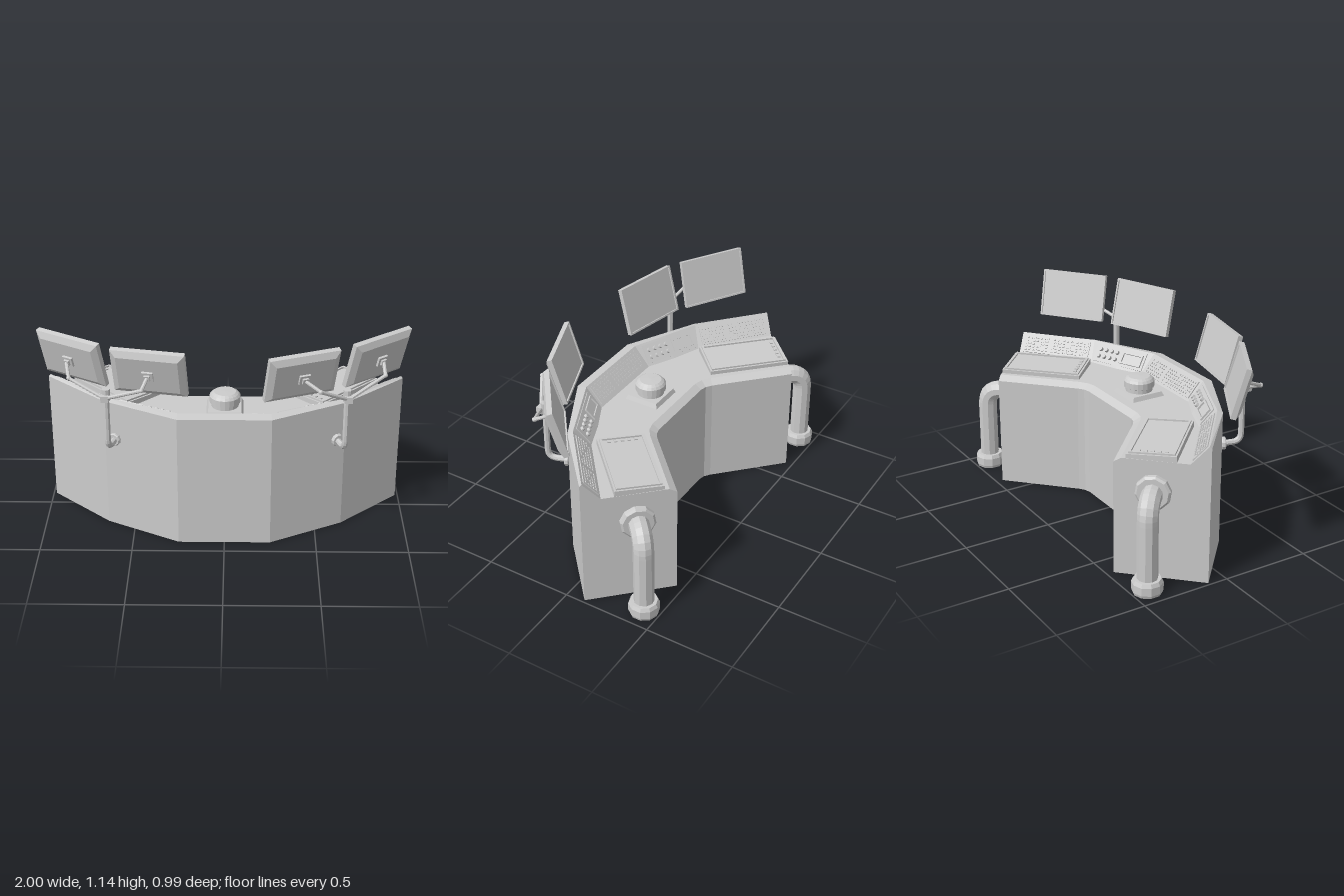
import * as THREE from 'three';
import { mergeGeometries } from 'three/addons/utils/BufferGeometryUtils.js';

const V = (x, y, z) => new THREE.Vector3(x, y, z);
const grey = new THREE.MeshStandardMaterial({ color: 0xcccccc, flatShading: true });

function add(parent, name, geometry, x = 0, y = 0, z = 0) {
  const mesh = new THREE.Mesh(geometry, grey);
  mesh.name = name;
  mesh.position.set(x, y, z);
  parent.add(mesh);
  return mesh;
}
const box = (w, h, d, x = 0, y = 0, z = 0) => new THREE.BoxGeometry(w, h, d).translate(x, y, z);

// Straight round bar between two points
function bar(parent, name, a, b, r, sides = 8) {
  const mesh = add(parent, name, new THREE.CylinderGeometry(r, r, a.distanceTo(b), sides));
  mesh.position.copy(a).add(b).multiplyScalar(0.5);
  mesh.quaternion.setFromUnitVectors(V(0, 1, 0), b.clone().sub(a).normalize());
}

// Pipe that leaves a wall horizontally and turns to vertical at an elbow
function elbowPipe(parent, name, start, corner, end, bend, r, sides) {
  const a = corner.clone().add(start.clone().sub(corner).setLength(bend));
  const b = corner.clone().add(end.clone().sub(corner).setLength(bend));
  const c = new THREE.CurvePath();
  c.add(new THREE.LineCurve3(start, a));
  c.add(new THREE.QuadraticBezierCurve3(a, corner, b));
  c.add(new THREE.LineCurve3(b, end));
  add(parent, name, new THREE.TubeGeometry(c, 24, r, sides));
}

// Disc with a bevelled rim, facing along dir
function flange(parent, name, at, dir, r, t, sides) {
  const pts = [[0, 0], [r * 0.93, 0], [r, t * 0.2], [r, t * 0.75], [r * 0.88, t], [0, t]];
  const mesh = add(parent, name, new THREE.LatheGeometry(pts.map(p => new THREE.Vector2(...p)), sides));
  mesh.position.copy(at);
  mesh.quaternion.setFromUnitVectors(V(0, 1, 0), dir);
}

// Desk stations from +x to -x: outer x z, inner x z, ledge width, slope foot
const half = [
  [0.985, -0.105, 0.635, -0.46, 0.012, 0.105],
  [0.65, 0.20, 0.295, -0.13, 0.03, 0.125],
  [0.45, 0.305, 0.262, -0.107, 0.04, 0.135],
  [0.25, 0.41, 0.225, -0.098, 0.055, 0.15],
];
const stations = [...half, ...half.slice().reverse().map(([a, b, c, d, e, f]) => [-a, b, -c, d, e, f])];
const rings = stations.map(([ox, oz, ix, iz, ledge, foot]) => {
  const o = V(ox, 0, oz), dir = V(ix, 0, iz).sub(o), len = dir.length();
  dir.normalize();
  return [[0, 0], [0, 0.755], [ledge, 0.765], [foot, 0.66], [len - 0.04, 0.66], [len, 0.635], [len, 0]]
    .map(([d, y]) => ({ d, y, p: o.clone().addScaledVector(dir, d).setY(y) }));
});

function deskGeometry() {
  const out = [];
  const tri = (...ps) => ps.forEach(q => out.push(q.p.x, q.p.y, q.p.z));
  const n = rings[0].length;
  for (let i = 0; i < rings.length - 1; i++) {
    for (let j = 0; j < n; j++) {
      const k = (j + 1) % n, A = rings[i], B = rings[i + 1];
      tri(A[j], A[k], B[k]);
      tri(A[j], B[k], B[j]);
    }
  }
  // End caps
  const first = rings[0].slice().reverse(), last = rings[rings.length - 1].slice().reverse();
  const faces = THREE.ShapeUtils.triangulateShape(first.map(q => new THREE.Vector2(q.d, q.y)), []);
  for (const [a, b, c] of faces) {
    tri(first[a], first[b], first[c]);
    tri(last[a], last[c], last[b]);
  }
  const g = new THREE.BufferGeometry();
  g.setAttribute('position', new THREE.Float32BufferAttribute(out, 3));
  g.computeVertexNormals();
  return g;
}

// Group lying on the sloped panel between two stations: x along, y out, z up the slope
function panelFrame(root, name, right, left) {
  const [tr, br] = [rings[right][2].p, rings[right][3].p];
  const [tl, bl] = [rings[left][2].p, rings[left][3].p];
  const x = tr.clone().add(br).sub(tl).sub(bl).normalize();
  const up = tr.clone().add(tl).sub(br).sub(bl);
  const y = up.cross(x).normalize();
  const g = new THREE.Group();
  g.name = name;
  g.quaternion.setFromRotationMatrix(new THREE.Matrix4().makeBasis(x, y, x.clone().cross(y)));
  g.position.copy(tr).add(br).add(tl).add(bl).multiplyScalar(0.25);
  root.add(g);
  return g;
}

// Raised plate with rows of small keys
function keyboard(g, w) {
  add(g, 'keyPlate', box(w, 0.012, 0.11));
  const keys = [], cols = Math.round(w / 0.022);
  for (let r = 0; r < 5; r++) for (let c = 0; c < cols; c++) {
    if ((c * 3 + r * 5) % 11 === 0 || c === Math.floor(cols * 0.62)) continue;
    keys.push(box(0.013, 0.006, 0.009, (c - (cols - 1) / 2) * 0.021, 0.008, (r - 2) * 0.019));
  }
  add(g, 'keys', mergeGeometries(keys));
}

// Plate with a small display on one side and two rows of knobs on the other
function controlPanel(g) {
  add(g, 'controlPlate', box(0.34, 0.012, 0.11));
  add(g, 'displayFrame', frame(0.14, 0.075, 0.012, 0.01), -0.085, 0.006, 0).rotation.x = -Math.PI / 2;
  for (let r = 0; r < 2; r++) for (let c = 0; c < 4; c++)
    add(g, 'knob', new THREE.CylinderGeometry(0.011, 0.013, 0.016, 10), 0.022 + c * 0.038, 0.013, (r - 0.5) * 0.042);
}

// Rectangular frame with an opening, extruded along z
function frame(w, h, rim, depth) {
  const rect = (T, a, b) => new T([[-a, -b], [a, -b], [a, b], [-a, b]].map(p => new THREE.Vector2(...p)));
  const s = rect(THREE.Shape, w / 2, h / 2);
  s.holes.push(rect(THREE.Path, w / 2 - rim, h / 2 - rim));
  return new THREE.ExtrudeGeometry(s, { depth, bevelEnabled: false });
}

// Monitor with its screen on -z and a bevelled back on +z
function monitor(root, x, z, yaw) {
  const g = new THREE.Group();
  g.name = 'monitor';
  g.position.set(x, 1, z);
  g.rotation.set(0.27, yaw, 0, 'YXZ');
  add(g, 'bezel', frame(0.395, 0.272, 0.01, 0.008), 0, 0, -0.018);
  add(g, 'screen', box(0.395, 0.272, 0.02));
  const back = new THREE.CylinderGeometry(Math.SQRT1_2, 1, 0.02, 4, 1).rotateY(Math.PI / 4).rotateX(Math.PI / 2);
  const p = back.attributes.position;
  for (let i = 0; i < p.count; i++) {
    const front = p.getZ(i) < 0;
    p.setX(i, Math.sign(Math.round(p.getX(i) * 10)) * (front ? 0.1975 : 0.165));
    p.setY(i, Math.sign(Math.round(p.getY(i) * 10)) * (front ? 0.136 : 0.103));
  }
  add(g, 'backShell', back, 0, 0, 0.02);
  add(g, 'mountPlate', box(0.06, 0.055, 0.014), 0, 0, 0.036);
  add(g, 'mountBlock', box(0.032, 0.03, 0.014), 0, 0, 0.048);
  root.add(g);
  g.updateMatrix();
  return V(0, 0, 0.052).applyMatrix4(g.matrix);
}

// Wall-mounted mast with two arms; each screen: x, z, yaw, elbow x, elbow z
function monitorStand(root, side, wall, pole, screens) {
  const g = new THREE.Group();
  g.name = side + 'MonitorStand';
  root.add(g);
  const base = V(wall[0], 0.55, wall[1]), corner = V(pole[0], 0.55, pole[1]);
  elbowPipe(g, 'mast', base, corner, corner.clone().setY(0.88), 0.05, 0.017, 8);
  flange(g, 'wallFlange', base, V(Math.sign(wall[0]) * 0.465, 0, 0.885), 0.036, 0.022, 10);
  add(g, 'mastCollar', new THREE.CylinderGeometry(0.022, 0.022, 0.065, 8), pole[0], 0.868, pole[1]);
  const joint = V(pole[0] * 1.01, 0.855, pole[1] + 0.022);
  add(g, 'joint', box(0.04, 0.035, 0.035)).position.copy(joint);
  for (const [x, z, yaw, ex, ez] of screens) {
    const plate = monitor(g, x, z, yaw), elbow = V(ex, 0.945, ez);
    bar(g, 'lowerArm', joint, elbow, 0.01);
    bar(g, 'upperArm', elbow, plate, 0.01);
    add(g, 'elbow', new THREE.IcosahedronGeometry(0.013, 1)).position.copy(elbow);
  }
}

export function createModel() {
  const root = new THREE.Group();
  root.name = 'controlDesk';
  add(root, 'desk', deskGeometry());

  // Sloped control panels
  keyboard(panelFrame(root, 'centreKeyboard', 3, 4), 0.46);
  keyboard(panelFrame(root, 'leftKeyboard', 0, 1), 0.41);
  keyboard(panelFrame(root, 'rightKeyboard', 6, 7), 0.41);
  controlPanel(panelFrame(root, 'leftControls', 1, 3));
  controlPanel(panelFrame(root, 'rightControls', 4, 6));

  // Central dial on a square plate
  const dial = new THREE.Group();
  dial.name = 'dial';
  dial.position.set(0, 0.66, 0.095);
  root.add(dial);
  const plate = new THREE.CylinderGeometry(0.128, 0.143, 0.025, 4).rotateY(Math.PI / 4);
  add(dial, 'dialPlate', plate, 0, 0.012, 0);
  const profile = [[0.075, 0.02], [0.075, 0.045], [0.085, 0.05], [0.085, 0.085], [0.075, 0.098], [0.06, 0.108], [0, 0.11]];
  add(dial, 'dialKnob', new THREE.LatheGeometry(profile.map(p => new THREE.Vector2(...p)), 20));

  for (const s of [1, -1]) {
    const side = s > 0 ? 'left' : 'right';

    // Desk tablet with a row of buttons
    const tablet = new THREE.Group();
    tablet.name = side + 'Tablet';
    tablet.position.set(s * 0.607, 0.67, -0.158);
    tablet.rotation.set(-0.04, s * Math.PI / 4, 0, 'YXZ');
    add(tablet, 'tabletBody', box(0.46, 0.035, 0.26));
    add(tablet, 'tabletFrame', frame(0.44, 0.24, 0.012, 0.01), 0, 0.017, 0).rotation.x = -Math.PI / 2;
    for (let i = 0; i < 5; i++)
      add(tablet, 'tabletButton', box(0.018, 0.008, 0.018), -0.19, 0.02, (i - 2) * 0.036);
    root.add(tablet);

    // Floor pipe leaving the end wall
    const out = V(s * Math.SQRT1_2, 0, -Math.SQRT1_2);
    const wall = V(s * 0.782, 0.495, -0.31), corner = V(s * 0.888, 0.495, -0.414);
    flange(root, side + 'PipeWallFlange', wall, out, 0.095, 0.04, 10);
    elbowPipe(root, side + 'Pipe', wall, corner, corner.clone().setY(0.02), 0.1, 0.055, 10);
    flange(root, side + 'PipeFloorFlange', corner.clone().setY(0), V(0, 1, 0), 0.083, 0.08, 10);
  }

  monitorStand(root, 'left', [0.605, 0.232], [0.642, 0.34],
    [[0.4, 0.375, 0.38, 0.495, 0.46], [0.81, 0.145, 0.66, 0.845, 0.255]]);
  monitorStand(root, 'right', [-0.59, 0.24], [-0.62, 0.345],
    [[-0.39, 0.35, -0.2, -0.425, 0.455], [-0.81, 0.17, -0.54, -0.815, 0.31]]);
  return root;
}
